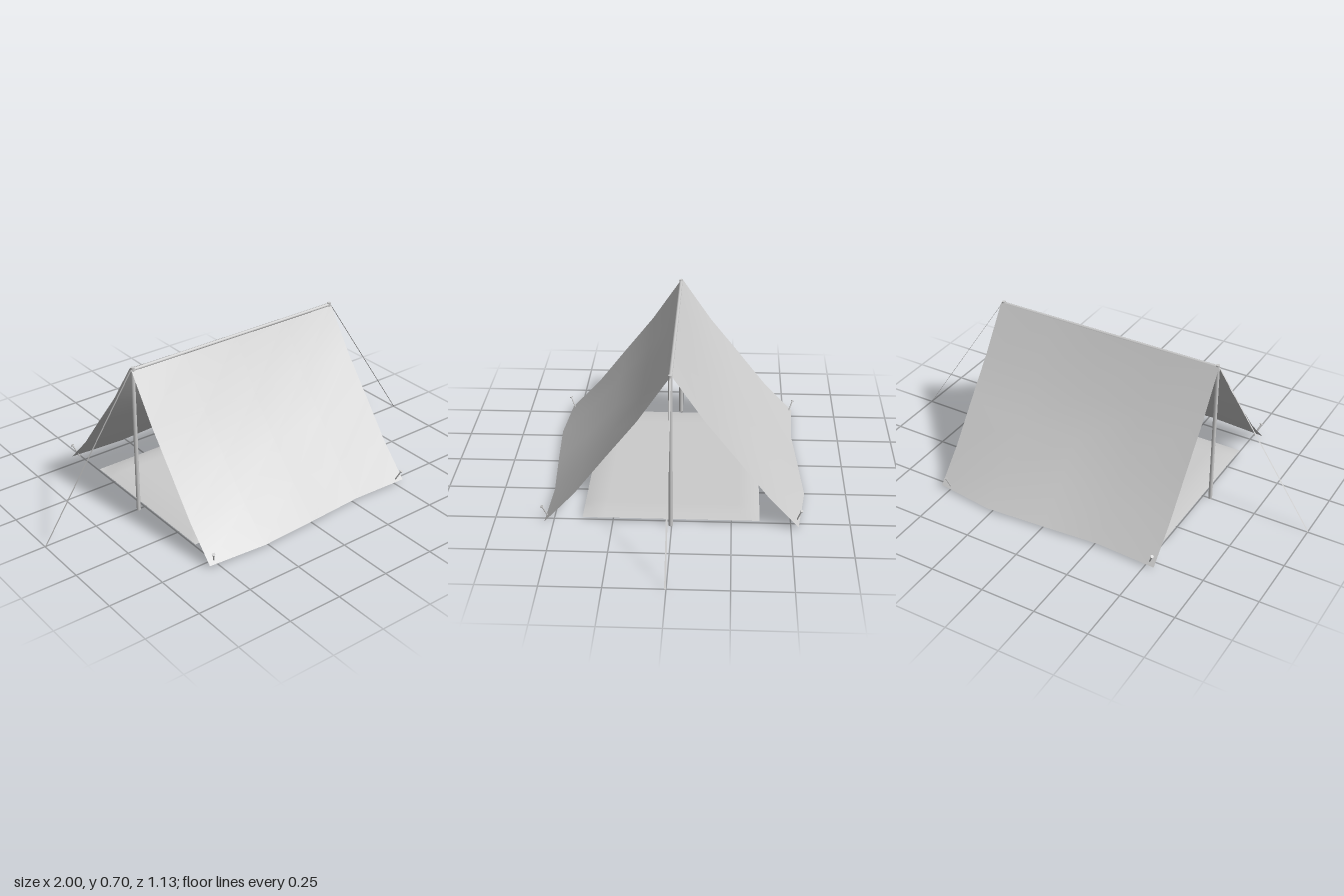
import * as THREE from 'three';

const grey = new THREE.MeshStandardMaterial({ color: 0xcccccc });
const cloth = new THREE.MeshStandardMaterial({ color: 0xcccccc, side: THREE.DoubleSide });
const V = (x, y, z) => new THREE.Vector3(x, y, z);

function add(group, name, geometry, material = grey) {
  const mesh = new THREE.Mesh(geometry, material);
  mesh.name = name;
  group.add(mesh);
  return mesh;
}

// Straight cylinder between two points
function rod(group, name, a, b, radius, sides = 8) {
  const dir = b.clone().sub(a);
  const mesh = add(group, name, new THREE.CylinderGeometry(radius, radius, dir.length(), sides));
  mesh.position.copy(a).lerp(b, 0.5);
  mesh.quaternion.setFromUnitVectors(V(0, 1, 0), dir.normalize());
  return mesh;
}

// Flat sheet whose points come from a rule on (u, v) column and row numbers
function sheet(cols, rows, rule) {
  const geo = new THREE.PlaneGeometry(1, 1, cols, rows);
  const pos = geo.attributes.position;
  for (let j = 0; j <= rows; j++) {
    for (let i = 0; i <= cols; i++) pos.setXYZ(j * (cols + 1) + i, ...rule(i, j));
  }
  geo.computeVertexNormals();
  return geo;
}

// One sloping side: sags in the middle, with a wavy hem
function canopySide(hem, side) {
  const edgeY = [0.692, 0.492, 0.322, 0.15, 0.01];
  const midY = [0.69, 0.457, 0.29, 0.137, 0.01];
  return sheet(4, 4, (i, j) => {
    const t = j / 4;
    const sag = Math.sin(Math.PI * i / 4);
    const x = side * (-0.543 + 1.086 * i / 4);
    const depth = hem[side > 0 ? i : 4 - i];
    const z = 0.004 + (0.545 * t) + (depth - 0.549) * t * t;
    return [x, THREE.MathUtils.lerp(edgeY[j], midY[j], sag), side * z];
  });
}

export function createModel() {
  const tent = new THREE.Group();
  tent.name = 'tent';

  // Canopy
  add(tent, 'canopyFront', canopySide([0.54, 0.56, 0.545, 0.527, 0.537], 1), cloth);
  add(tent, 'canopyBack', canopySide([0.543, 0.53, 0.55, 0.568, 0.532], -1), cloth);

  // Ridge pole, upright poles and guy ropes
  rod(tent, 'ridgePole', V(-0.54, 0.687, 0.004), V(0.54, 0.687, 0.004), 0.008);
  for (const s of [-1, 1]) {
    const end = s > 0 ? 'Left' : 'Right';
    rod(tent, 'pole' + end, V(s * 0.534, 0, 0.004), V(s * 0.534, 0.697, 0.004), 0.009);
    const rope = sheet(1, 1, (i, j) => [
      s * (j ? 1 : 0.54), j ? 0 : 0.69, 0.004 + (i - 0.5) * 0.007 * s]);
    add(tent, 'guyRope' + end, rope, cloth);
  }

  // Ground mat, edges dipping to the ground
  const mat = sheet(16, 16, (i, j) => {
    const rim = i === 0 || j === 0 || i === 16 || j === 16;
    return [-0.5 + i / 16, rim ? 0.01 : 0.022, 0.005 + (j / 16 - 0.5) * 0.75];
  });
  add(tent, 'groundMat', mat, cloth);

  // Pegs with flat heads: top and tip of each
  const pegs = [
    [V(-0.53, 0.066, 0.548), V(-0.51, 0.01, 0.522)],
    [V(0.517, 0.066, 0.548), V(0.505, 0.01, 0.522)],
    [V(-0.535, 0.066, -0.545), V(-0.512, 0.01, -0.524)],
    [V(0.508, 0.066, -0.543), V(0.495, 0.01, -0.524)],
  ];
  for (const [top, tip] of pegs) {
    const peg = new THREE.Group();
    peg.name = 'peg';
    rod(peg, 'pegShaft', top, tip, 0.003, 6);
    rod(peg, 'pegHead', top, top.clone().lerp(tip, -0.06), 0.008, 6);
    tent.add(peg);
  }
  return tent;
}
